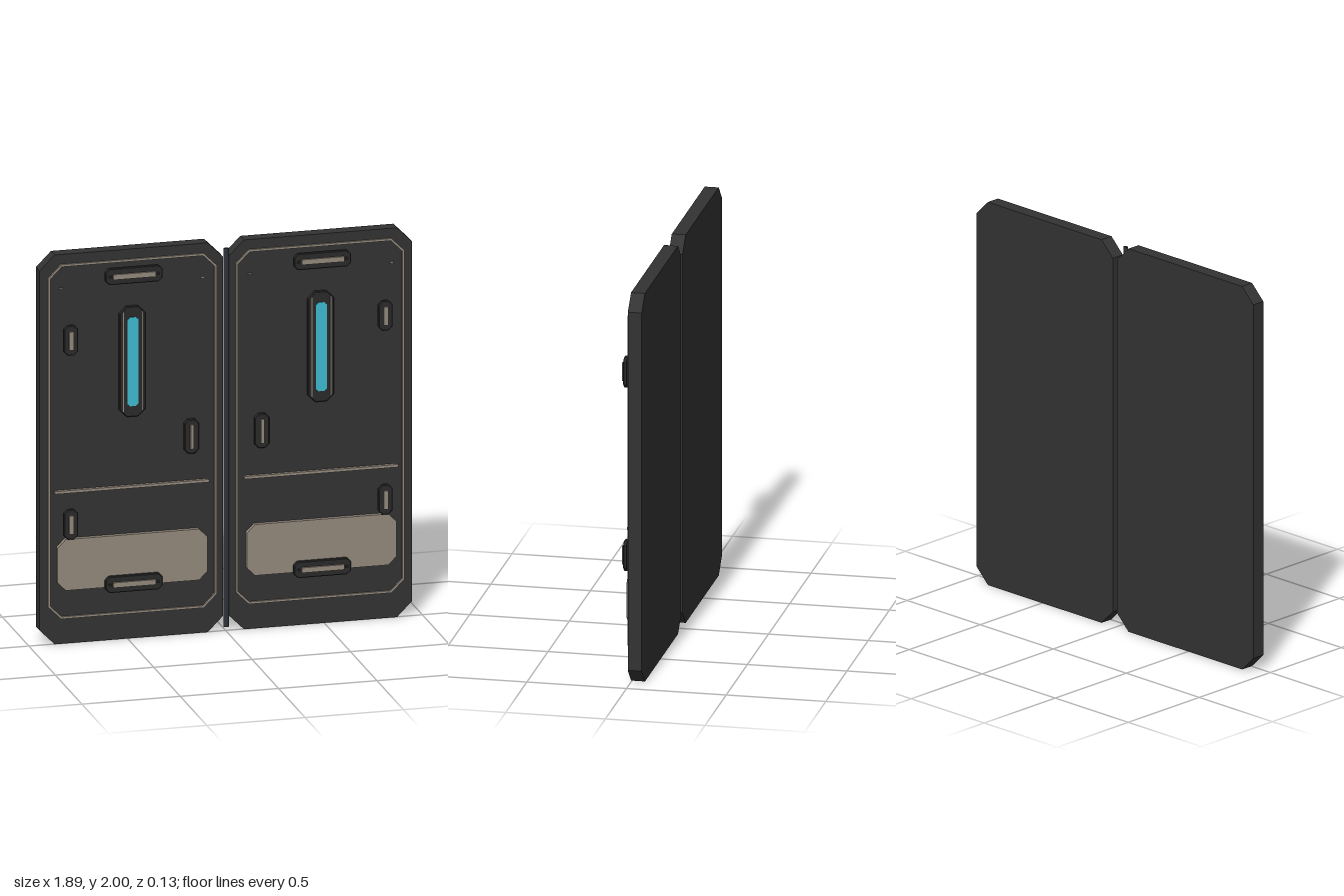
import * as THREE from 'three';

const mat = (name, color) => {
  const m = new THREE.MeshStandardMaterial({ color });
  m.name = name;
  return m;
};

// Rectangle with cut corners, centred on its origin
function cutRect(w, h, c, Type = THREE.Shape) {
  const x = w / 2, y = h / 2;
  return new Type([
    [-x + c, -y], [x - c, -y], [x, -y + c], [x, y - c],
    [x - c, y], [-x + c, y], [-x, y - c], [-x, -y + c],
  ].map(([a, b]) => new THREE.Vector2(a, b)));
}

export function createModel() {
  const charcoal = mat('charcoal door', 0x333333);
  const dark = mat('dark fittings', 0x2a2a2a);
  const bronze = mat('bronze trim', 0x93887c);
  const cyan = mat('cyan light', 0x3cbccf);
  const steel = mat('dark steel', 0x30323a);

  const model = new THREE.Group();
  model.name = 'doubleDoor';

  // Cut-corner plate spanning z0 to z1, with an optional cut-corner opening
  function plate(parent, name, material, x, y, w, h, c, z0, z1, hole, bevel = 0) {
    const shape = cutRect(w - 2 * bevel, h - 2 * bevel, c);
    if (hole) shape.holes.push(cutRect(w - 2 * hole, h - 2 * hole, c - hole * 0.6, THREE.Path));
    const geo = new THREE.ExtrudeGeometry(shape, {
      depth: z1 - z0 - bevel, bevelEnabled: bevel > 0,
      bevelSize: bevel, bevelThickness: bevel, bevelSegments: 1,
    });
    // Flatten the rear bevel so that only the front edge slopes
    const p = geo.attributes.position;
    for (let i = 0; i < p.count; i++) p.setZ(i, Math.max(0, p.getZ(i)));
    geo.computeVertexNormals();
    const mesh = new THREE.Mesh(geo, material);
    mesh.name = name;
    mesh.position.set(x, y, z0);
    parent.add(mesh);
  }

  function box(parent, name, material, x, y, w, h, z0, z1) {
    const mesh = new THREE.Mesh(new THREE.BoxGeometry(w, h, z1 - z0), material);
    mesh.name = name;
    mesh.position.set(x, y, (z0 + z1) / 2);
    parent.add(mesh);
  }

  // Dark clasp carrying a slim bronze bar
  function clasp(parent, name, x, y, w, h, barW, barH, z0, z1) {
    const g = new THREE.Group();
    g.name = name;
    plate(g, name + 'Base', dark, x, y, w, h, 0.018, z0, z1, 0, 0.004);
    box(g, name + 'Bar', bronze, x, y, barW, barH, z1 - 0.005, z1 + 0.01);
    parent.add(g);
  }

  for (const s of [-1, 1]) {
    const leaf = new THREE.Group();
    leaf.name = s < 0 ? 'rightLeaf' : 'leftLeaf';
    model.add(leaf);
    const mid = s * 0.481;

    // Door slab and raised border trim
    plate(leaf, 'doorSlab', charcoal, mid, 1, 0.932, 2, 0.077, -0.065, 0.005);
    plate(leaf, 'borderTrim', bronze, s * 0.477, 1.04, 0.858, 1.82, 0.066, 0.005, 0.015, 0.011);

    // Light slot with side rails
    const lx = s * 0.479;
    plate(leaf, 'lightFrame', dark, lx, 1.427, 0.132, 0.567, 0.034, 0.005, 0.026, 0, 0.004);
    plate(leaf, 'lightStrip', cyan, lx, 1.428, 0.054, 0.456, 0.012, 0.024, 0.031);
    for (const k of [-1, 1]) box(leaf, 'lightRail', bronze, lx + k * 0.048, 1.428, 0.005, 0.51, 0.024, 0.029);

    // Cross bar and kick plate
    box(leaf, 'crossBar', bronze, s * 0.481, 0.783, 0.784, 0.014, 0.005, 0.024);
    plate(leaf, 'kickPlate', bronze, s * 0.481, 0.41, 0.762, 0.262, 0.042, 0.005, 0.029);

    // Horizontal pulls at top and bottom, with end studs
    for (const y of [1.879, 0.297]) {
      clasp(leaf, 'pull', lx, y, 0.292, 0.084, 0.215, 0.026, 0.034, 0.054);
      for (const k of [-1, 1]) {
        const stud = new THREE.Mesh(new THREE.CylinderGeometry(0.007, 0.007, 0.01, 8), dark);
        stud.name = 'pullStud';
        stud.rotation.x = Math.PI / 2;
        stud.position.set(lx + k * 0.122, y, 0.057);
        leaf.add(stud);
      }
    }

    // Outer hinge clasps and the inner latch
    for (const y of [1.568, 0.623]) clasp(leaf, 'sideClasp', s * 0.799, y, 0.072, 0.155, 0.022, 0.094, 0.036, 0.053);
    clasp(leaf, 'innerLatch', s * 0.179, 1.018, 0.074, 0.176, 0.016, 0.124, 0.005, 0.027);

    // Small corner markers
    for (const x of [0.12, 0.84]) box(leaf, 'cornerMarker', bronze, s * x, 1.826, 0.018, 0.005, 0.005, 0.026);
  }

  // Centre seam rod
  const rod = new THREE.Mesh(new THREE.CylinderGeometry(0.014, 0.014, 1.945, 12), steel);
  rod.name = 'seamRod';
  rod.scale.z = 0.6;
  rod.position.set(0, 0.995, 0.011);
  model.add(rod);

  return model;
}
